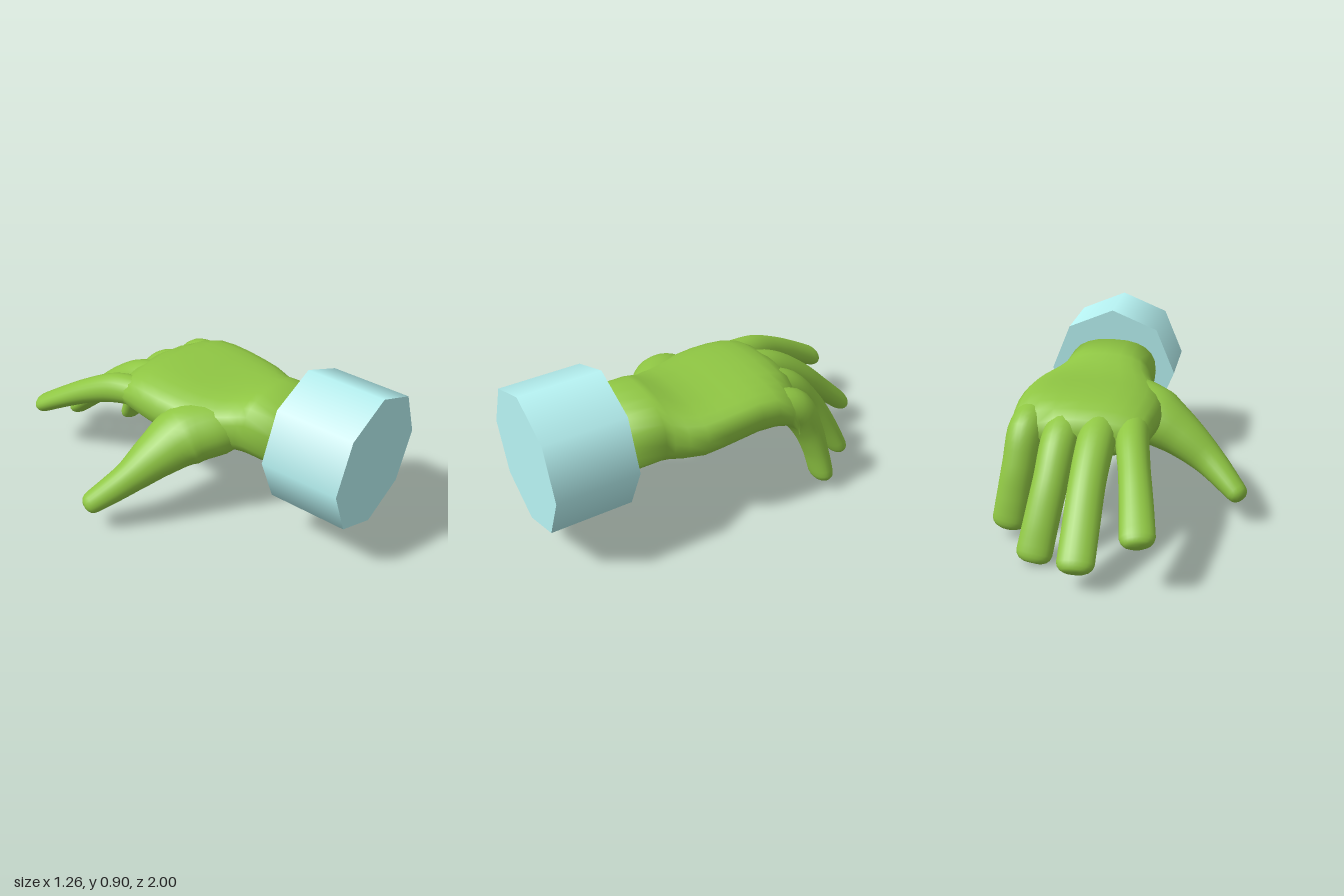
import * as THREE from 'three';

const SIDES = 24;
const V = (x, y, z) => new THREE.Vector3(x, y, z);

// Closed skin over rings that run counter-clockwise about the travel direction
function loft(rings) {
  const pos = [], idx = [], n = SIDES;
  rings.forEach(r => r.forEach(p => pos.push(p.x, p.y, p.z)));
  for (let k = 0; k < rings.length - 1; k++) {
    for (let i = 0; i < n; i++) {
      const j = (i + 1) % n, a = k * n, b = a + n;
      idx.push(a + i, a + j, b + j, a + i, b + j, b + i);
    }
  }
  // end caps
  [0, rings.length - 1].forEach((k, end) => {
    const c = pos.length / 3, m = V(0, 0, 0);
    rings[k].forEach(p => m.addScaledVector(p, 1 / n));
    pos.push(m.x, m.y, m.z);
    for (let i = 0; i < n; i++) {
      const a = k * n + i, b = k * n + (i + 1) % n;
      if (end) idx.push(a, b, c); else idx.push(b, a, c);
    }
  });
  const g = new THREE.BufferGeometry();
  g.setAttribute('position', new THREE.Float32BufferAttribute(pos, 3));
  g.setIndex(idx);
  g.computeVertexNormals();
  return g;
}

// Bent finger: rows of [x, y, z, half width, half thickness], blunt rounded tip
function finger(rows, ref) {
  const curve = new THREE.CatmullRomCurve3(rows.map(r => V(r[0], r[1], r[2])));
  const rings = [], steps = 24, last = rows.length - 1;
  const add = (t, push, scale) => {
    const f = t * last, i = Math.min(Math.floor(f), last - 1);
    const rx = THREE.MathUtils.lerp(rows[i][3], rows[i + 1][3], f - i) * scale;
    const ry = THREE.MathUtils.lerp(rows[i][4], rows[i + 1][4], f - i) * scale;
    const dir = curve.getTangent(t);
    const c = curve.getPoint(t).addScaledVector(dir, push);
    const side = ref.clone().addScaledVector(dir, -dir.dot(ref)).normalize();
    const up = dir.clone().cross(side);
    rings.push(Array.from({ length: SIDES }, (_, k) => {
      const a = k / SIDES * Math.PI * 2;
      return c.clone().addScaledVector(side, rx * Math.cos(a)).addScaledVector(up, ry * Math.sin(a));
    }));
  };
  for (let s = 0; s <= steps; s++) add(s / steps, 0, 1);
  add(1, 0.02, 0.92);
  add(1, 0.036, 0.76);
  add(1, 0.046, 0.5);
  return loft(rings);
}

// Forearm and palm: rows of [z, xMin, xMax, yMin, yMax, squareness, droop of the outer edge]
function palm(rows) {
  return loft(rows.map(([z, x0, x1, y0, y1, e, droop]) =>
    Array.from({ length: SIDES }, (_, k) => {
      const a = k / SIDES * Math.PI * 2, c = Math.cos(a), s = Math.sin(a);
      const px = Math.sign(c) * Math.abs(c) ** (2 / e);
      const py = -Math.sign(s) * Math.abs(s) ** (2 / e);
      const outer = droop * Math.max(0, px) ** 2;
      return V((x0 + x1) / 2 + px * (x1 - x0) / 2,
        (y0 + y1) / 2 + py * (y1 - y0) / 2 - outer, z + Math.max(0, outer) * 0.8);
    })));
}

export function createModel() {
  const model = new THREE.Group();
  model.name = 'hand';
  const skin = new THREE.MeshStandardMaterial({ color: 0x8fc643 });
  const cloth = new THREE.MeshStandardMaterial({ color: 0xb8f4f4 });
  const add = (name, geometry, material) => {
    const mesh = new THREE.Mesh(geometry, material);
    mesh.name = name;
    model.add(mesh);
    return mesh;
  };

  // eight-sided cuff with a corner at the top
  const cuff = add('cuff', new THREE.CylinderGeometry(0.36, 0.36, 0.42, 8), cloth);
  cuff.rotation.x = Math.PI / 2;
  cuff.position.set(0.203, 0.53, 0.79);

  add('palmAndWrist', palm([
    [0.60, -0.05, 0.455, 0.36, 0.72, 2.5, 0],
    [0.38, -0.05, 0.455, 0.36, 0.72, 2.5, 0],
    [0.34, -0.06, 0.47, 0.36, 0.71, 2.4, 0],
    [0.28, -0.08, 0.51, 0.36, 0.685, 2.4, -0.01],
    [0.20, -0.12, 0.545, 0.355, 0.665, 2.5, -0.03],
    [0.10, -0.15, 0.555, 0.36, 0.66, 2.6, -0.045],
    [0.00, -0.165, 0.56, 0.37, 0.665, 2.6, -0.05],
    [-0.10, -0.17, 0.56, 0.38, 0.67, 2.6, -0.05],
    [-0.20, -0.165, 0.565, 0.39, 0.67, 2.6, -0.035],
    [-0.28, -0.155, 0.57, 0.40, 0.663, 2.6, 0],
    [-0.35, -0.145, 0.575, 0.41, 0.645, 2.5, 0.05],
    [-0.41, -0.13, 0.57, 0.42, 0.61, 2.3, 0.10],
    [-0.45, -0.10, 0.53, 0.45, 0.56, 2.2, 0.13],
  ]), skin);

  const across = V(1, 0, 0);
  add('indexFinger', finger([
    [-0.02, 0.51, -0.05, 0.07, 0.07],
    [-0.05, 0.535, -0.27, 0.085, 0.08],
    [-0.075, 0.515, -0.45, 0.082, 0.083],
    [-0.11, 0.45, -0.62, 0.077, 0.07],
    [-0.145, 0.36, -0.79, 0.08, 0.06],
    [-0.172, 0.275, -0.935, 0.083, 0.052],
  ], across), skin);
  add('middleFinger', finger([
    [0.11, 0.51, -0.05, 0.08, 0.08],
    [0.105, 0.55, -0.27, 0.10, 0.085],
    [0.105, 0.515, -0.45, 0.095, 0.085],
    [0.11, 0.40, -0.64, 0.09, 0.072],
    [0.11, 0.25, -0.81, 0.09, 0.06],
    [0.11, 0.125, -0.945, 0.09, 0.052],
  ], across), skin);
  add('ringFinger', finger([
    [0.25, 0.51, -0.05, 0.08, 0.08],
    [0.275, 0.55, -0.27, 0.10, 0.085],
    [0.29, 0.50, -0.43, 0.095, 0.088],
    [0.305, 0.36, -0.57, 0.088, 0.072],
    [0.33, 0.20, -0.675, 0.088, 0.06],
    [0.355, 0.048, -0.75, 0.09, 0.052],
  ], across), skin);
  add('littleFinger', finger([
    [0.40, 0.53, -0.02, 0.08, 0.07],
    [0.455, 0.55, -0.21, 0.09, 0.085],
    [0.478, 0.51, -0.34, 0.098, 0.10],
    [0.497, 0.37, -0.425, 0.09, 0.076],
    [0.522, 0.22, -0.475, 0.087, 0.06],
    [0.545, 0.085, -0.505, 0.087, 0.054],
  ], across), skin);
  // broad thumb base that blends into the heel of the hand
  add('thumb', finger([
    [0.16, 0.50, 0.26, 0.09, 0.10],
    [0.02, 0.49, 0.19, 0.155, 0.14],
    [-0.12, 0.458, 0.07, 0.178, 0.155],
    [-0.27, 0.385, 0.005, 0.13, 0.118],
    [-0.42, 0.285, -0.065, 0.085, 0.085],
    [-0.573, 0.165, -0.178, 0.062, 0.056],
  ], V(0, 0, 1)), skin);

  return model;
}
